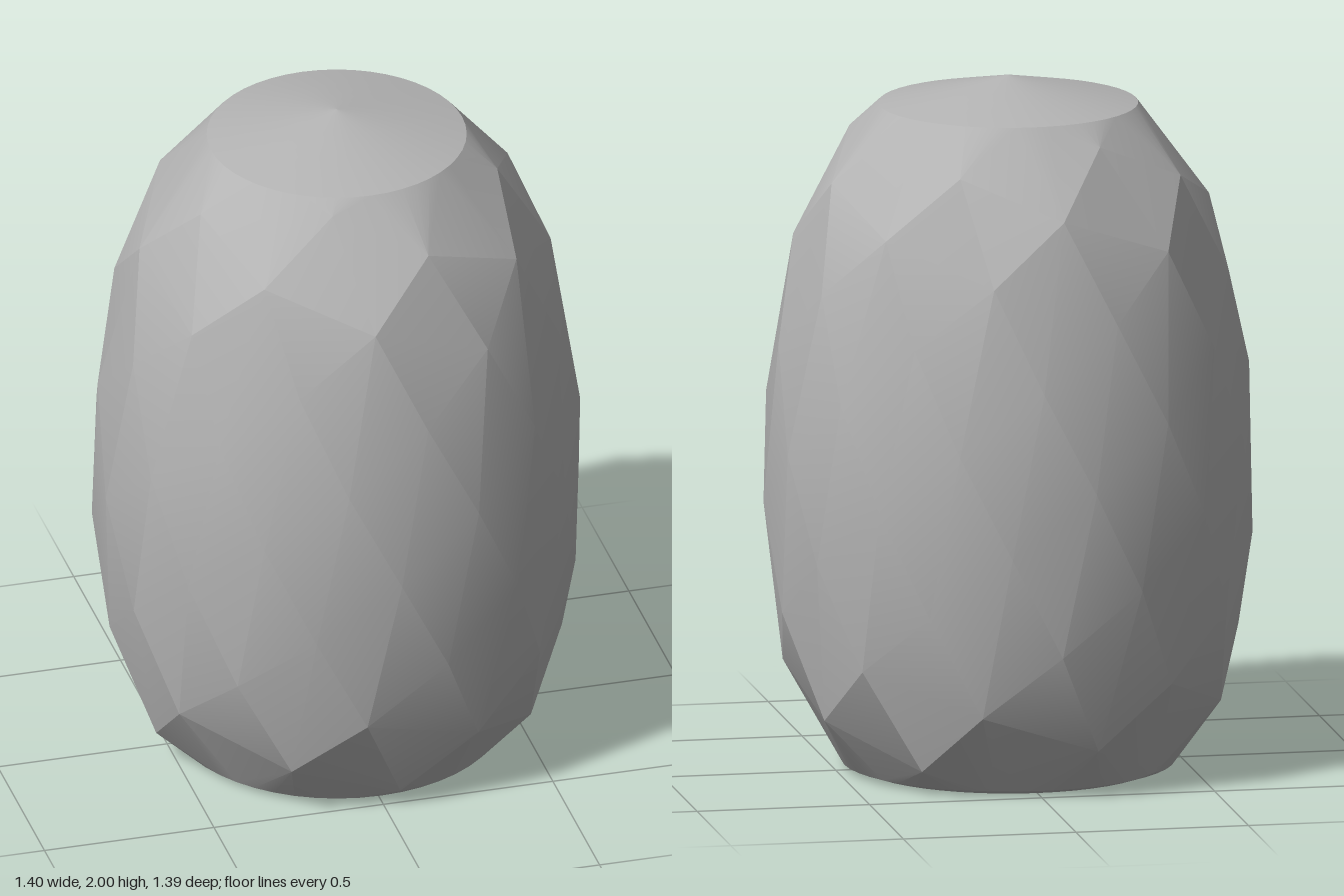
import * as THREE from 'three';
import { ConvexGeometry } from 'three/addons/geometries/ConvexGeometry.js';
import { toCreasedNormals } from 'three/addons/utils/BufferGeometryUtils.js';

// Barrel profile: [height, radius]
const PROFILE = [
  [0, 0.43], [0.015, 0.475], [0.05, 0.525], [0.1, 0.57], [0.2, 0.615], [0.35, 0.655],
  [0.48, 0.678], [0.65, 0.695], [0.82, 0.702], [1.0, 0.698], [1.18, 0.685], [1.3, 0.664],
  [1.45, 0.635], [1.55, 0.61], [1.63, 0.584], [1.7, 0.555], [1.77, 0.51], [1.85, 0.45], [1.92, 0.37],
];

function radiusAt(y) {
  const i = Math.max(1, PROFILE.findIndex(([h]) => h >= y));
  const [y0, r0] = PROFILE[i - 1], [y1, r1] = PROFILE[i];
  return THREE.MathUtils.lerp(r0, r1, (y - y0) / (y1 - y0));
}

const around = (angle, r, y) => new THREE.Vector3(r * Math.sin(angle), y, r * Math.cos(angle));

export function createModel() {
  const model = new THREE.Group();
  model.name = 'facetedBarrel';
  const grey = new THREE.MeshStandardMaterial({ color: 0xb4b4b4 });
  grey.name = 'grey';

  // Facet corners climb the barrel on a golden-angle spiral
  const golden = Math.PI * (3 - Math.sqrt(5));
  const points = [];
  for (let k = -35; k <= 47; k++) {
    const y = 0.82 + k * 0.0226;
    points.push(around(k * golden, radiusAt(y), y));
  }

  // Round rims at the foot and shoulder, and the shallow cone's tip
  const SIDES = 48;
  for (const [y, r] of [[0, 0.43], [0.015, 0.475], [1.92, 0.37]]) {
    for (let i = 0; i < SIDES; i++) points.push(around((i / SIDES) * Math.PI * 2, r, y));
  }
  points.push(new THREE.Vector3(0, 2, 0));

  // Gentle creases between facets, softened within each one
  const body = new THREE.Mesh(toCreasedNormals(new ConvexGeometry(points), 0.28), grey);
  body.name = 'body';
  model.add(body);
  return model;
}
